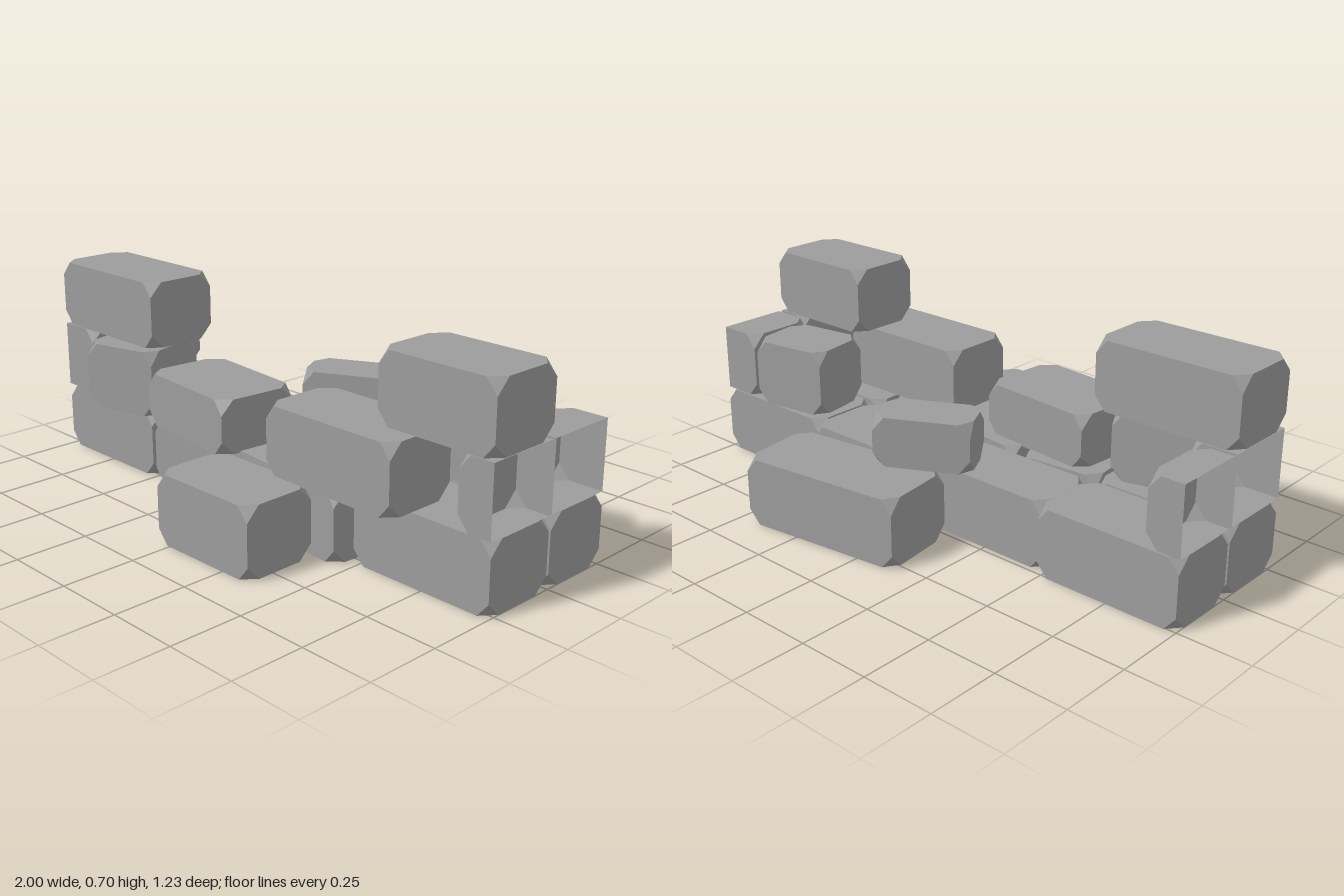
import * as THREE from 'three';
import { ConvexGeometry } from 'three/addons/geometries/ConvexGeometry.js';

const stone = new THREE.MeshStandardMaterial({ color: 0x9c9c9c, flatShading: true });
const openStone = new THREE.MeshStandardMaterial({ color: 0x9c9c9c, flatShading: true, side: THREE.DoubleSide });

// Box with its eight corners cut off; openEnd (-1 or +1) leaves that x end square and hollow
function stoneGeometry(w, h, d, openEnd) {
  const cx = 0.04, cy = 0.048, cz = 0.048;
  const points = [];
  for (const sx of [-1, 1]) for (const sy of [-1, 1]) for (const sz of [-1, 1]) {
    const x = sx * w / 2, y = sy * h / 2, z = sz * d / 2;
    if (sx === openEnd) {
      points.push(new THREE.Vector3(x, y, z));
      continue;
    }
    points.push(
      new THREE.Vector3(x - sx * cx, y, z),
      new THREE.Vector3(x, y - sy * cy, z),
      new THREE.Vector3(x, y, z - sz * cz));
  }
  const geometry = new ConvexGeometry(points);
  if (openEnd === 0) return geometry;

  // Drop the triangles that close the open end
  const position = geometry.getAttribute('position');
  const kept = [];
  for (let i = 0; i < position.count; i += 3) {
    const corners = [i, i + 1, i + 2];
    if (corners.every((c) => Math.abs(position.getX(c) - openEnd * w / 2) < 1e-4)) continue;
    kept.push(...corners);
  }
  geometry.setIndex(kept);
  return geometry;
}

export function createModel() {
  const model = new THREE.Group();
  model.name = 'ruinedStoneWall';

  const add = (name, x, z, w, d, y0, y1, turn = 0, openEnd = 0) => {
    const mesh = new THREE.Mesh(stoneGeometry(w, y1 - y0, d, openEnd), openEnd ? openStone : stone);
    mesh.name = name;
    mesh.position.set(x, (y0 + y1) / 2, z);
    mesh.rotation.y = turn;
    model.add(mesh);
  };
  // Straight stone given by its limits
  const span = (name, x0, x1, z0, z1, y0, y1, openEnd) =>
    add(name, (x0 + x1) / 2, (z0 + z1) / 2, x1 - x0, z1 - z0, y0, y1, 0, openEnd);

  // Bottom course, front row
  span('frontBaseStoneRight', -1, -0.508, 0.01, 0.275, 0, 0.235);
  add('frontBaseHalfStone', -0.335, 0.147, 0.29, 0.265, 0, 0.232, 0.09);
  add('frontBaseStoneMiddle', 0.153, 0.178, 0.63, 0.262, 0, 0.235, -0.09);
  span('frontBaseStoneLeft', 0.48, 1, 0.01, 0.275, 0, 0.235);

  // Bottom course, back row
  span('backBaseStoneRight', -1, -0.487, -0.256, 0, 0, 0.235);
  span('backBaseStoneMiddle', -0.483, 0.162, -0.232, 0, 0, 0.232);
  span('backBaseHalfStone', 0.168, 0.495, -0.282, 0, 0, 0.235);
  span('backBaseStoneLeft', 0.505, 1, -0.256, 0, 0, 0.235);

  // Second course: broken stones, open at the wall ends
  span('frontEndStoneRight', -1, -0.84, 0.015, 0.278, 0.237, 0.47, -1);
  span('backEndStoneRight', -1, -0.88, -0.253, 0, 0.237, 0.47, -1);
  span('frontEndStoneLeft', 0.88, 1, 0.015, 0.278, 0.237, 0.47, 1);
  span('backEndStoneLeft', 0.84, 1, -0.253, 0, 0.237, 0.47, 1);

  // Second course: shifted stones
  add('shiftedHalfStoneRight', -0.636, 0.208, 0.28, 0.262, 0.235, 0.467, 0.255);
  add('shiftedStoneMiddle', -0.22, 0.204, 0.43, 0.288, 0.23, 0.415, -0.095);
  span('shiftedStoneLeft', 0.195, 0.707, 0.106, 0.37, 0.235, 0.465);
  add('shiftedHalfStoneLeft', 0.685, -0.13, 0.285, 0.232, 0.235, 0.467, 0.16);

  // Top course
  span('topStoneRight', -1, -0.485, 0.015, 0.278, 0.472, 0.703);
  span('topStoneLeft', 0.573, 1, 0.015, 0.278, 0.472, 0.703);

  // Fallen stones
  add('fallenStoneFront', 0.156, 0.474, 0.415, 0.262, 0, 0.238, 0.01);
  add('fallenStoneBack', 0.173, -0.44, 0.595, 0.28, 0, 0.235, 0.135);
  add('fallenStoneSmall', -0.006, -0.23, 0.325, 0.178, 0.235, 0.405, 0.48);

  return model;
}
